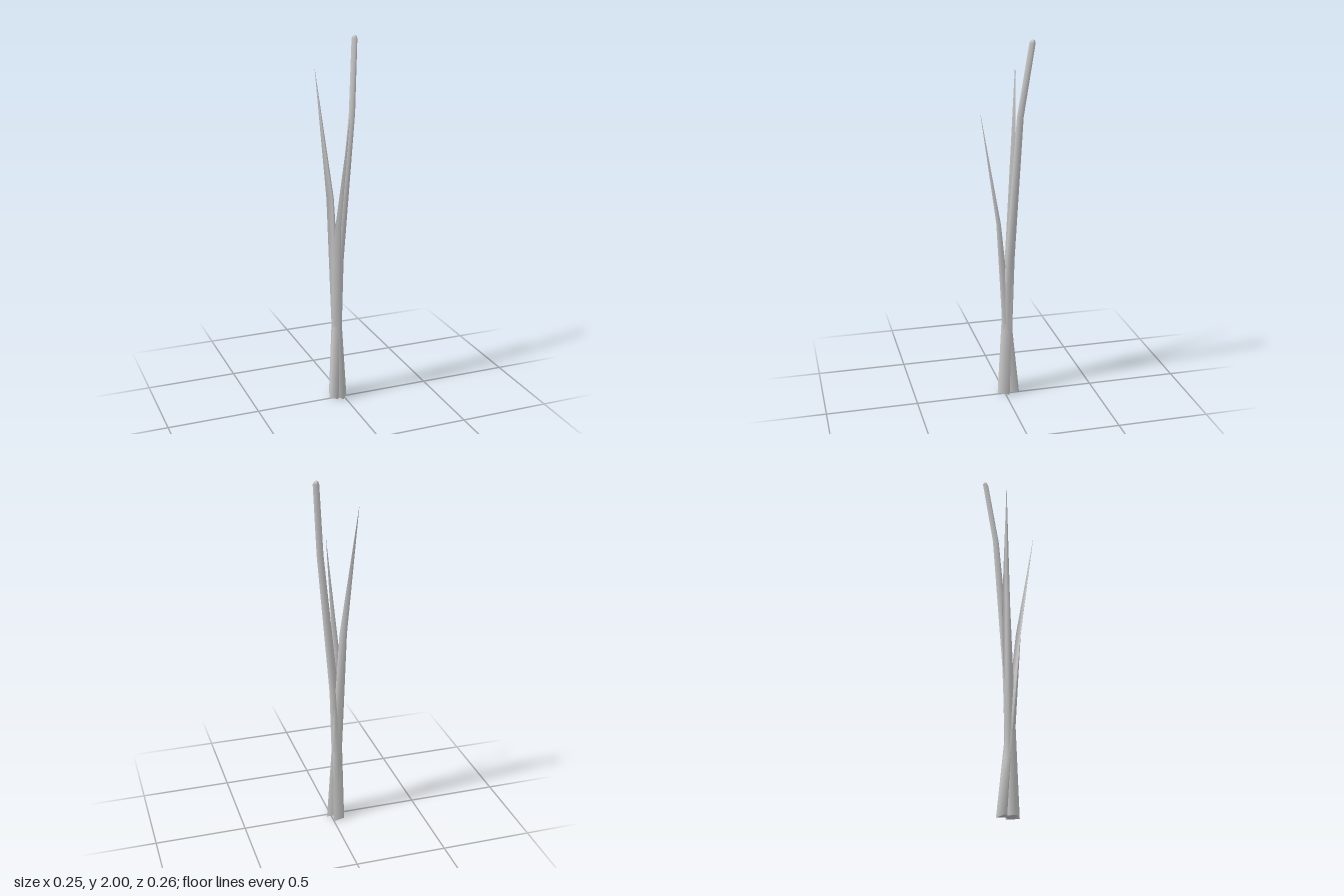
import * as THREE from 'three';

// Skin a stack of rings ([x, z] corners, anticlockwise seen from above) and close the bottom and top
function loft(name, material, sections) {
  const n = sections[0].ring.length;
  const pos = [], idx = [];
  for (const { y, ring } of sections) for (const [x, z] of ring) pos.push(x, y, z);
  for (let s = 0; s < sections.length - 1; s++) {
    for (let i = 0; i < n; i++) {
      const a = s * n + i, b = s * n + (i + 1) % n;
      idx.push(a, b, b + n, a, b + n, a + n);
    }
  }
  // end caps use their own corners so their rims stay crisp
  const cap = ({ y, ring }, up) => {
    const start = pos.length / 3;
    for (const [x, z] of ring) pos.push(x, y, z);
    for (let i = 1; i < n - 1; i++) {
      if (up) idx.push(start, start + i, start + i + 1);
      else idx.push(start, start + i + 1, start + i);
    }
  };
  cap(sections[0], false);
  cap(sections[sections.length - 1], true);
  const geometry = new THREE.BufferGeometry();
  geometry.setAttribute('position', new THREE.Float32BufferAttribute(pos, 3));
  geometry.setIndex(idx);
  geometry.computeVertexNormals();
  const mesh = new THREE.Mesh(geometry, material);
  mesh.name = name;
  return mesh;
}

// Four-sided ring with its corners on the x and z axes
function square(y, x, z, r) {
  return { y, ring: [[x + r, z], [x, z - r], [x - r, z], [x, z + r]] };
}

// Triangular ring shrunk to a sharp point
function point(y, x, z) {
  const e = 0.0005;
  return { y, ring: [[x + e, z], [x - e, z - e], [x - e, z + e]] };
}

export function createModel() {
  const group = new THREE.Group();
  group.name = 'reedTuft';
  const material = new THREE.MeshStandardMaterial({ color: 0xcccccc });

  // Tall bent stalk with a rounded tip
  group.add(loft('stalk', material, [
    square(0, -0.045, -0.01, 0.035),
    square(0.4, -0.03, -0.021, 0.028),
    square(0.8, -0.012, -0.031, 0.025),
    square(1.6, 0.072, -0.062, 0.018),
    square(1.982, 0.106, -0.114, 0.0165),
    square(1.995, 0.106, -0.115, 0.011),
    square(2, 0.106, -0.115, 0.002),
  ]));

  // Right blade, leaning to the right and back
  group.add(loft('rightBlade', material, [
    { y: 0, ring: [[0.025, -0.02], [-0.046, -0.024], [-0.015, 0.04]] },
    { y: 1.15, ring: [[-0.03, -0.067], [-0.073, -0.063], [-0.053, -0.03]] },
    point(1.84, -0.125, -0.085),
  ]));

  // Front blade, leaning forward
  group.add(loft('frontBlade', material, [
    { y: 0, ring: [[0.005, -0.08], [-0.065, -0.06], [-0.015, -0.01]] },
    { y: 1, ring: [[-0.021, 0.018], [-0.06, 0.029], [-0.035, 0.04]] },
    point(1.61, -0.016, 0.127),
  ]));

  return group;
}
